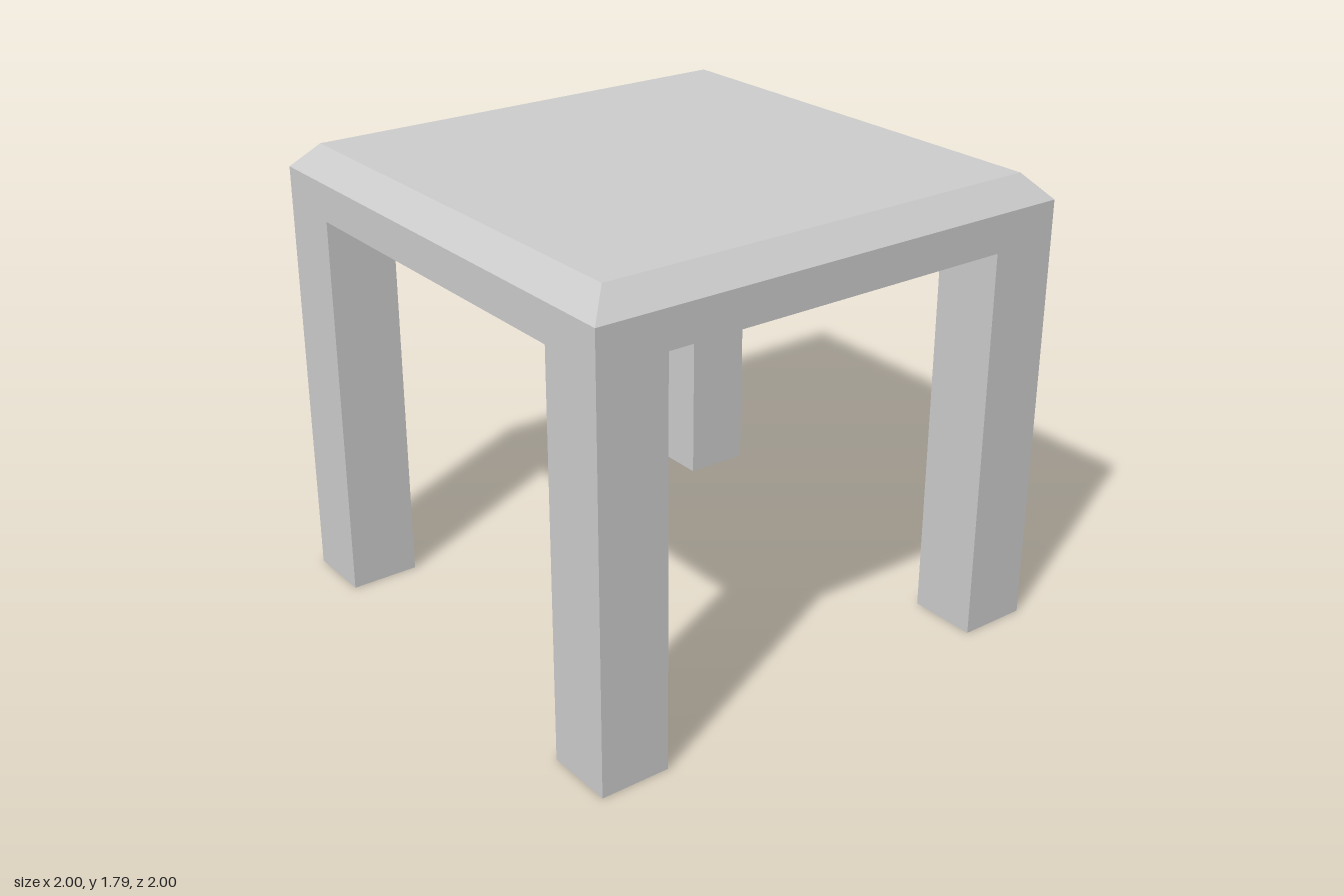
import * as THREE from 'three';

const LEG = 0.275, UNDERSIDE = 1.555, RIM = 1.7, TOP = 1.795, INSET = 0.91;

// Square slab whose upper edge is chamfered: the top ring is drawn inwards
function tabletopGeometry() {
  const box = new THREE.BoxGeometry(2, 2, 2, 1, 2, 1);
  const p = box.attributes.position;
  for (let i = 0; i < p.count; i++) {
    const level = p.getY(i);
    const half = level > 0.5 ? INSET : 1;
    const y = level > 0.5 ? TOP : level < -0.5 ? UNDERSIDE : RIM;
    p.setXYZ(i, p.getX(i) * half, y, p.getZ(i) * half);
  }
  const geometry = box.toNonIndexed();
  geometry.computeVertexNormals();
  return geometry;
}

export function createModel() {
  const group = new THREE.Group();
  group.name = 'table';
  const material = new THREE.MeshStandardMaterial({ color: 0xcccccc, flatShading: true });

  const tabletop = new THREE.Mesh(tabletopGeometry(), material);
  tabletop.name = 'tabletop';
  group.add(tabletop);

  // Four square legs flush with the outer corners
  const legGeometry = new THREE.BoxGeometry(LEG, UNDERSIDE, LEG);
  const offset = 1 - LEG / 2;
  for (const [zName, z] of [['front', 1], ['back', -1]]) {
    for (const [xName, x] of [['Left', 1], ['Right', -1]]) {
      const leg = new THREE.Mesh(legGeometry, material);
      leg.name = `${zName}${xName}Leg`;
      leg.position.set(x * offset, UNDERSIDE / 2, z * offset);
      group.add(leg);
    }
  }
  return group;
}
